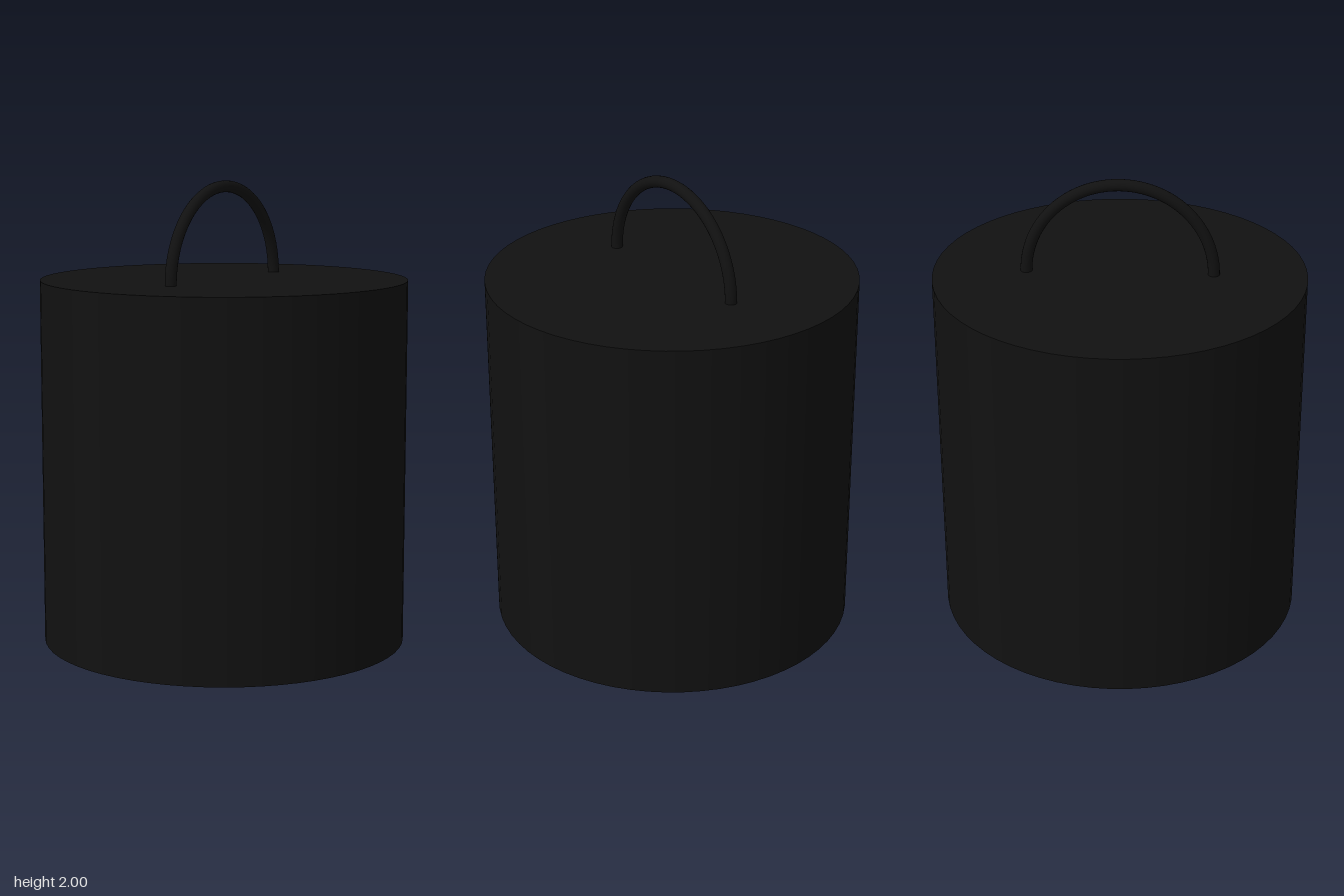
import * as THREE from 'three';

export function createModel() {
  const group = new THREE.Group();
  const material = new THREE.MeshStandardMaterial({ color: 0x111111 });
  const radius = 0.79, height = 1.58;

  // Solid round body, as tall as it is wide
  const body = new THREE.Mesh(new THREE.CylinderGeometry(radius, radius, height, 64), material);
  body.name = 'body';
  body.position.y = height / 2;
  group.add(body);

  // Half-ring handle standing on the top, running front to back
  const handle = new THREE.Mesh(new THREE.TorusGeometry(radius / 2, 0.025, 16, 48, Math.PI), material);
  handle.name = 'handle';
  handle.position.y = height;
  handle.rotation.y = Math.PI / 2;
  group.add(handle);

  return group;
}
